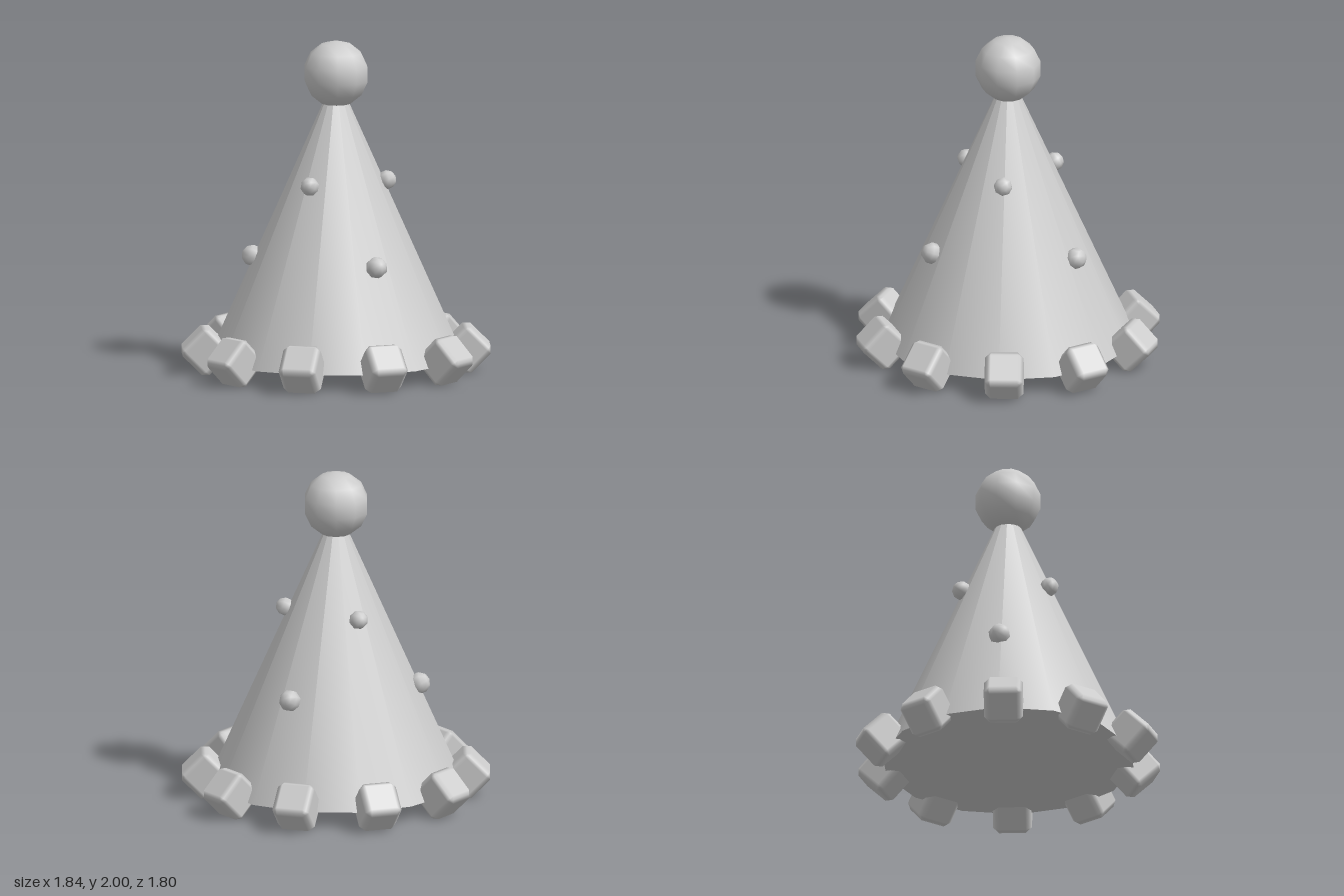
import * as THREE from 'three';

const grey = new THREE.MeshStandardMaterial({ color: 0xcccccc });
grey.name = 'plainGrey';

function add(parent, name, geometry) {
  const mesh = new THREE.Mesh(geometry, grey);
  mesh.name = name;
  parent.add(mesh);
  return mesh;
}

// Cube with half size h and a flat bevel b, shaded smoothly across the bevels
function bevelledCube(h, b) {
  const geometry = new THREE.BoxGeometry(2, 2, 2, 3, 3, 3);
  const { position, normal } = geometry.attributes;
  for (let i = 0; i < position.count; i++) {
    const p = [position.getX(i), position.getY(i), position.getZ(i)];
    const outer = p.map((v) => (Math.abs(v) > 0.9 ? Math.sign(v) : 0));
    const n = outer.filter((v) => v !== 0).length;
    const edge = h - (b * (n - 1)) / n;
    position.setXYZ(i, ...p.map((v, k) => (outer[k] ? outer[k] * edge : Math.sign(v) * (h - b))));
    normal.setXYZ(i, ...outer.map((v) => v / Math.sqrt(n)));
  }
  return geometry;
}

export function createModel() {
  const hat = new THREE.Group();
  hat.name = 'partyHat';

  // Cone body with a closed base
  const bottom = 0.1, height = 1.7, radius = 0.757;
  add(hat, 'cone', new THREE.ConeGeometry(radius, height, 14)).position.y = bottom + height / 2;

  // Ball on the tip
  const ball = add(hat, 'pompom', new THREE.SphereGeometry(0.2, 10, 7));
  ball.position.y = 1.8;
  ball.rotation.y = Math.PI / 2;

  // Ring of bevelled cubes standing on edge around the brim
  const brim = new THREE.Group();
  brim.name = 'brimTrim';
  hat.add(brim);
  const cube = bevelledCube(0.115, 0.035);
  cube.rotateZ(Math.PI / 4);
  for (let i = 0; i < 10; i++) {
    const a = (i * Math.PI) / 5;
    const block = add(brim, 'brimBlock', cube);
    block.position.set(0.78 * Math.cos(a), 0.138, 0.78 * Math.sin(a));
    block.rotation.y = -a;
  }

  // Two rows of small beads, with their poles along the cone's surface normal
  const beads = new THREE.Group();
  beads.name = 'beads';
  hat.add(beads);
  const up = new THREE.Vector3(0, 1, 0);
  const rows = [
    { y: 0.7, r: 0.497, size: 0.066, start: 100 },
    { y: 1.16, r: 0.303, size: 0.057, start: 40 },
  ];
  for (const { y, r, size, start } of rows) {
    const beadShape = new THREE.SphereGeometry(size, 8, 5);
    for (let i = 0; i < 3; i++) {
      const a = THREE.MathUtils.degToRad(start + i * 120);
      const bead = add(beads, 'bead', beadShape);
      bead.position.set(r * Math.cos(a), y, r * Math.sin(a));
      const out = new THREE.Vector3(Math.cos(a), radius / height, Math.sin(a)).normalize();
      bead.quaternion.setFromUnitVectors(up, out);
    }
  }
  return hat;
}
